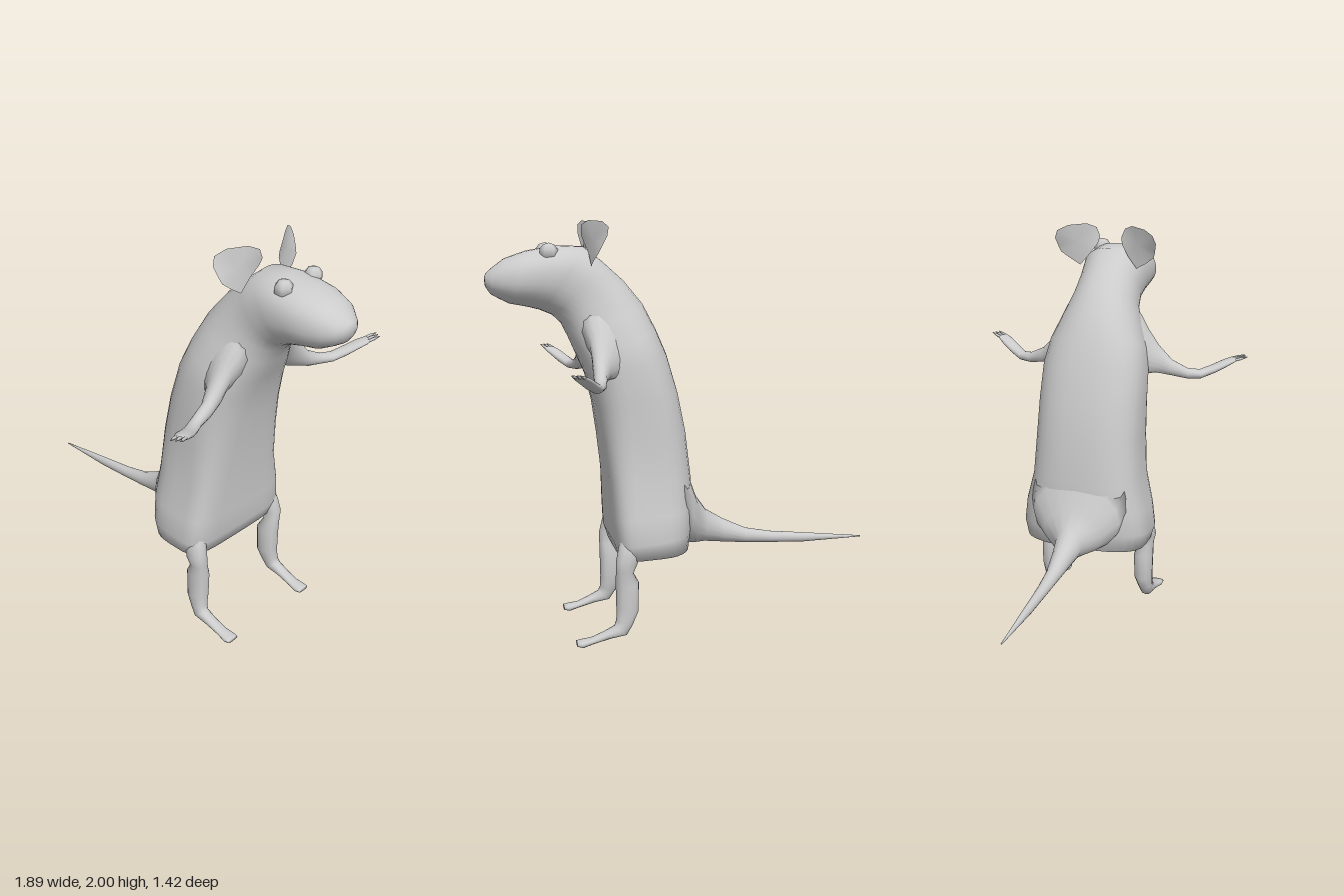
import * as THREE from 'three';

const material = new THREE.MeshStandardMaterial({ color: 0xcccccc, side: THREE.DoubleSide });
const V = (x, y, z) => new THREE.Vector3(x, y, z);

// Skin over rings { c: centre, u, v: half axes, p, pf }; p and pf square off the back and front half
function loft(name, rings, segs = 16) {
  const pos = [], idx = [], n = rings.length;
  const bend = (t, p) => Math.sign(t) * Math.abs(t) ** (2 / p);
  for (const { c, u, v, p = 2, pf = p } of rings) {
    for (let i = 0; i < segs; i++) {
      const a = (i / segs) * Math.PI * 2;
      const e = Math.cos(a) > 0 ? pf : p;
      const q = c.clone().addScaledVector(u, bend(Math.cos(a), e)).addScaledVector(v, bend(Math.sin(a), e));
      pos.push(q.x, q.y, q.z);
    }
  }
  pos.push(...rings[0].c.toArray(), ...rings[n - 1].c.toArray());
  const along = rings[1].c.clone().sub(rings[0].c);
  const flip = rings[0].u.clone().cross(rings[0].v).dot(along) < 0;
  const tri = (a, b, c) => (flip ? idx.push(a, c, b) : idx.push(a, b, c));
  for (let i = 0; i < segs; i++) {
    const j = (i + 1) % segs, end = (n - 1) * segs;
    for (let r = 0; r < n - 1; r++) {
      const a = r * segs + i, b = r * segs + j;
      tri(a, b, b + segs);
      tri(a, b + segs, a + segs);
    }
    tri(n * segs, j, i);
    tri(n * segs + 1, end + i, end + j);
  }
  const g = new THREE.BufferGeometry();
  g.setAttribute('position', new THREE.Float32BufferAttribute(pos, 3));
  g.setIndex(idx);
  g.computeVertexNormals();
  const mesh = new THREE.Mesh(g, material);
  mesh.name = name;
  return mesh;
}

// Ring from two opposite outline points in the side plane, half width, squareness and z centre
const sideRing = ([ax, ay, bx, by, hw, p = 2, pf = p], z = 0) => ({
  c: V((ax + bx) / 2, (ay + by) / 2, z),
  u: V((bx - ax) / 2, (by - ay) / 2, 0),
  v: V(0, 0, hw),
  p,
  pf,
});

// back x, y, belly x, y, half width, squareness of back and belly: from rump to nose
const bodyRings = [
  [0.04, 0.415, 0.29, 0.39, 0.23, 2.5, 4],
  [0.0, 0.43, 0.36, 0.41, 0.315, 2.6, 5],
  [-0.01, 0.52, 0.383, 0.48, 0.335, 2.6, 5],
  [-0.02, 0.64, 0.39, 0.6, 0.318, 2.6, 5],
  [-0.015, 0.78, 0.4, 0.78, 0.28, 2.6, 4.5],
  [0.01, 1.0, 0.425, 0.97, 0.27, 2.6, 3.6],
  [0.045, 1.18, 0.45, 1.13, 0.268, 2.5, 3],
  [0.1, 1.37, 0.485, 1.27, 0.265, 2.4, 2.6],
  [0.15, 1.49, 0.525, 1.36, 0.245, 2.3, 2.4],
  [0.21, 1.61, 0.57, 1.46, 0.2, 2.2],
  [0.3, 1.72, 0.6, 1.52, 0.165, 2.2],
  [0.4, 1.81, 0.64, 1.56, 0.157, 2.2],
  [0.49, 1.88, 0.7, 1.585, 0.165, 2.2],
  [0.62, 1.885, 0.76, 1.6, 0.165, 2.2],
  [0.76, 1.86, 0.84, 1.615, 0.155, 2.2],
  [0.86, 1.825, 0.89, 1.64, 0.122, 2.2],
  [0.92, 1.78, 0.925, 1.66, 0.08],
  [0.945, 1.757, 0.94, 1.68, 0.05],
  [0.953, 1.74, 0.95, 1.7, 0.025],
];

// top x, y, underside x, y, half width: flares into the rump
const tailRings = [
  [0.05, 0.9, 0.05, 0.43, 0.26],
  [-0.005, 0.78, 0.01, 0.42, 0.23],
  [-0.05, 0.66, -0.04, 0.412, 0.155],
  [-0.11, 0.575, -0.1, 0.41, 0.07],
  [-0.2, 0.52, -0.2, 0.4, 0.053],
  [-0.32, 0.465, -0.31, 0.39, 0.037],
  [-0.45, 0.44, -0.45, 0.382, 0.028],
  [-0.63, 0.422, -0.63, 0.374, 0.02],
  [-0.94, 0.388, -0.94, 0.382, 0.003],
];

// z, then back x, y, front x, y, half width: from buried thigh to toes
const legRings = [
  [0.24, 0.25, 0.58, 0.34, 0.58, 0.03],
  [0.268, 0.26, 0.48, 0.375, 0.48, 0.045],
  [0.277, 0.285, 0.4, 0.39, 0.41, 0.046],
  [0.272, 0.305, 0.35, 0.39, 0.36, 0.038],
  [0.262, 0.278, 0.3, 0.39, 0.29, 0.05],
  [0.263, 0.28, 0.16, 0.388, 0.18, 0.047],
  [0.27, 0.31, 0.095, 0.39, 0.12, 0.037],
  [0.275, 0.34, 0.048, 0.4, 0.095, 0.034],
  [0.275, 0.42, 0.035, 0.445, 0.07, 0.03],
  [0.273, 0.5, 0.015, 0.51, 0.042, 0.03],
  [0.273, 0.55, 0.0, 0.56, 0.035, 0.036],
  [0.273, 0.58, 0.008, 0.58, 0.03, 0.034],
];

// x, y, z, half depth, half height, sweep, lean: flared shoulder to palm
const armRings = [
  [0.36, 1.43, 0.1, 0.15, 0.22, 0, 0.4],
  [0.38, 1.415, 0.18, 0.115, 0.15, 0, 0.4],
  [0.405, 1.385, 0.225, 0.08, 0.108, 0, 0.3],
  [0.44, 1.343, 0.28, 0.05, 0.07, 0, 0.1],
  [0.462, 1.298, 0.35, 0.031, 0.041, 0.15, 0],
  [0.475, 1.272, 0.43, 0.027, 0.027, 0.3, 0],
  [0.5, 1.268, 0.49, 0.028, 0.023, 0.5, 0],
  [0.535, 1.292, 0.55, 0.03, 0.022, 0.6, 0],
  [0.565, 1.317, 0.6, 0.031, 0.019, 0.6, 0],
  [0.588, 1.333, 0.635, 0.029, 0.013, 0.6, 0],
  [0.595, 1.338, 0.648, 0.024, 0.007, 0.6, 0],
];

function arm(s) {
  const group = new THREE.Group();
  group.name = s > 0 ? 'leftArm' : 'rightArm';
  group.add(loft('foreLimb', armRings.map(([x, y, z, rx, ry, k, lean]) => ({
    c: V(x, y, s * z), u: V(rx, 0, -s * k * rx), v: V(lean * ry, ry, 0),
  }))));
  // Three thin tapering fingers
  for (const o of [-0.018, 0, 0.018]) {
    const start = V(0.587 + o, 1.334, s * (0.632 - o * 0.6));
    const tip = V(0.615 + o, 1.352, s * (0.698 - o * 0.6));
    const ring = (c, r) => ({ c, u: V(r, 0, -s * 0.4 * r), v: V(0, r, 0) });
    group.add(loft('finger', [ring(start, 0.008), ring(start.clone().lerp(tip, 0.6), 0.007), ring(tip, 0.002)], 6));
  }
  return group;
}

// Thin fan-shaped ear, twisting outward from a narrow base
function ear(s) {
  const outline = [[0.15, 1.79], [0.1, 1.85], [0.065, 1.9], [0.056, 1.935], [0.075, 1.98], [0.12, 2.0],
    [0.2, 1.995], [0.25, 1.97], [0.265, 1.93], [0.255, 1.885], [0.245, 1.855], [0.2, 1.82]];
  const pos = [], idx = [];
  for (const [z, y] of [[0.16, 1.91], ...outline]) {
    const spread = (y - 1.79) / 0.2;
    pos.push(0.47 + spread * (0.045 - 0.63 * (z - 0.06)), y, s * z);
  }
  for (let i = 0; i < outline.length; i++) {
    const a = 1 + i, b = 1 + ((i + 1) % outline.length);
    s > 0 ? idx.push(0, a, b) : idx.push(0, b, a);
  }
  const g = new THREE.BufferGeometry();
  g.setAttribute('position', new THREE.Float32BufferAttribute(pos, 3));
  g.setIndex(idx);
  g.computeVertexNormals();
  const mesh = new THREE.Mesh(g, material);
  mesh.name = s > 0 ? 'leftEar' : 'rightEar';
  return mesh;
}

export function createModel() {
  const model = new THREE.Group();
  model.name = 'standingRodent';
  model.add(loft('body', bodyRings.map((r) => sideRing(r)), 32));
  model.add(loft('tail', tailRings.map((r) => sideRing(r))));

  for (const s of [1, -1]) {
    const leg = legRings.map(([z, ...r]) => sideRing([...r, 2.3], s * z));
    model.add(loft(s > 0 ? 'leftLeg' : 'rightLeg', leg, 12));
    model.add(arm(s), ear(s));

    const eye = new THREE.Mesh(new THREE.SphereGeometry(0.045, 6, 5), material);
    eye.name = s > 0 ? 'leftEye' : 'rightEye';
    eye.position.set(0.66, 1.853, s * 0.098);
    model.add(eye);
  }
  return model;
}
